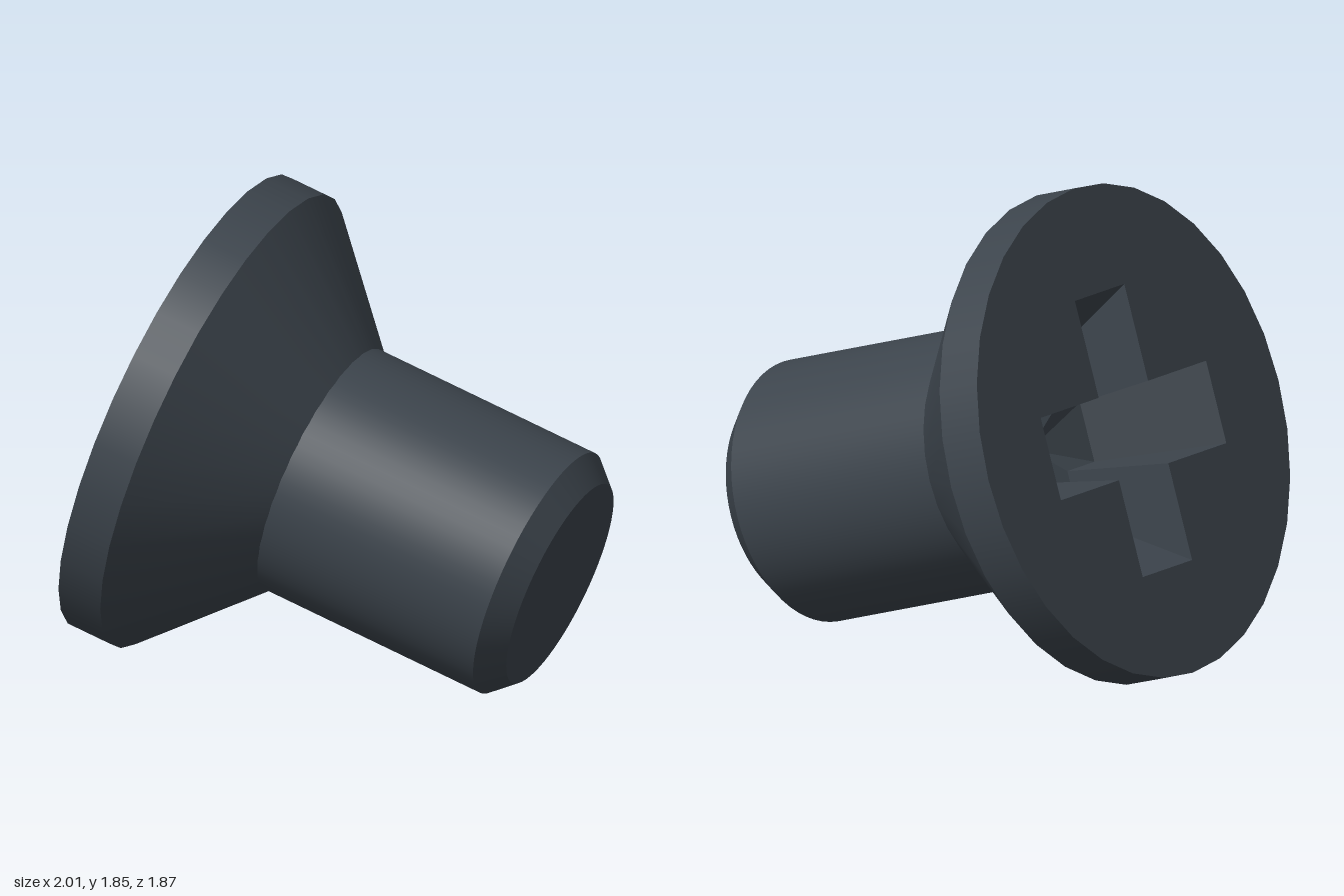
import * as THREE from 'three';

export function createModel() {
  const group = new THREE.Group();
  const steel = new THREE.MeshStandardMaterial({ color: 0x3c444c });
  steel.name = 'darkSteel';

  // Screw is built with its head facing local +z, then tilted into place.
  const screw = new THREE.Group();
  screw.name = 'screw';
  const add = (name, geometry) => {
    const mesh = new THREE.Mesh(geometry, steel);
    mesh.name = name;
    screw.add(mesh);
  };

  // One turned band between two [radius, depth] rings, deepest ring first
  const band = (name, deep, shallow, sides) => {
    const points = [deep, shallow].map(([r, d]) => new THREE.Vector2(r, -d));
    add(name, new THREE.LatheGeometry(points, sides).rotateX(Math.PI / 2));
  };
  band('headRim', [0.94, 0.18], [0.94, 0], 32);
  band('headCone', [0.5, 0.612], [0.94, 0.18], 32);
  band('shaft', [0.5, 1.54], [0.5, 0.61], 64);
  band('tipBevel', [0.414, 1.635], [0.5, 1.54], 64);
  add('tipFace', new THREE.CircleGeometry(0.414, 64).rotateX(Math.PI).translate(0, 0, -1.635));

  // Counter-clockwise cross outline: arm half length and half width
  const cross = (l, w) => [
    [l, -w], [l, w], [w, w], [w, l], [-w, l], [-w, w],
    [-l, w], [-l, -w], [-w, -w], [-w, -l], [w, -l], [w, -w],
  ];
  const top = cross(0.536, 0.16);
  const bottom = cross(0.29, 0.115);

  // Head face with the cross cut out
  const disc = new THREE.Shape();
  for (let i = 0; i < 32; i++) {
    const a = (i / 32) * Math.PI * 2;
    disc[i ? 'lineTo' : 'moveTo'](0.94 * Math.cos(a), 0.94 * Math.sin(a));
  }
  disc.closePath();
  disc.holes.push(new THREE.Path(top.map(([x, y]) => new THREE.Vector2(x, y)).reverse()));
  add('headFace', new THREE.ShapeGeometry(disc));

  // Tapering recess walls and a slightly pointed floor
  const depth = 0.44;
  const positions = [];
  top.forEach((p, i) => {
    const j = (i + 1) % top.length;
    const a = [...p, 0], b = [...top[j], 0];
    const c = [...bottom[j], -depth], d = [...bottom[i], -depth];
    positions.push(...a, ...b, ...c, ...a, ...c, ...d);
    positions.push(...d, ...c, 0, 0, -depth - 0.06);
  });
  const recess = new THREE.BufferGeometry();
  recess.setAttribute('position', new THREE.Float32BufferAttribute(positions, 3));
  recess.computeVertexNormals();
  add('crossRecess', recess);

  // Tilt: the head looks along `out`, one recess arm runs along `arm`
  const out = new THREE.Vector3(-0.933, 0.303, -0.195).normalize();
  const arm = new THREE.Vector3(-0.21, -0.016, 0.978);
  const side = out.clone().cross(arm).normalize();
  arm.crossVectors(side, out);
  screw.quaternion.setFromRotationMatrix(new THREE.Matrix4().makeBasis(arm, side, out));
  screw.position.set(-0.664, 0.953, -0.018);
  group.add(screw);
  return group;
}
